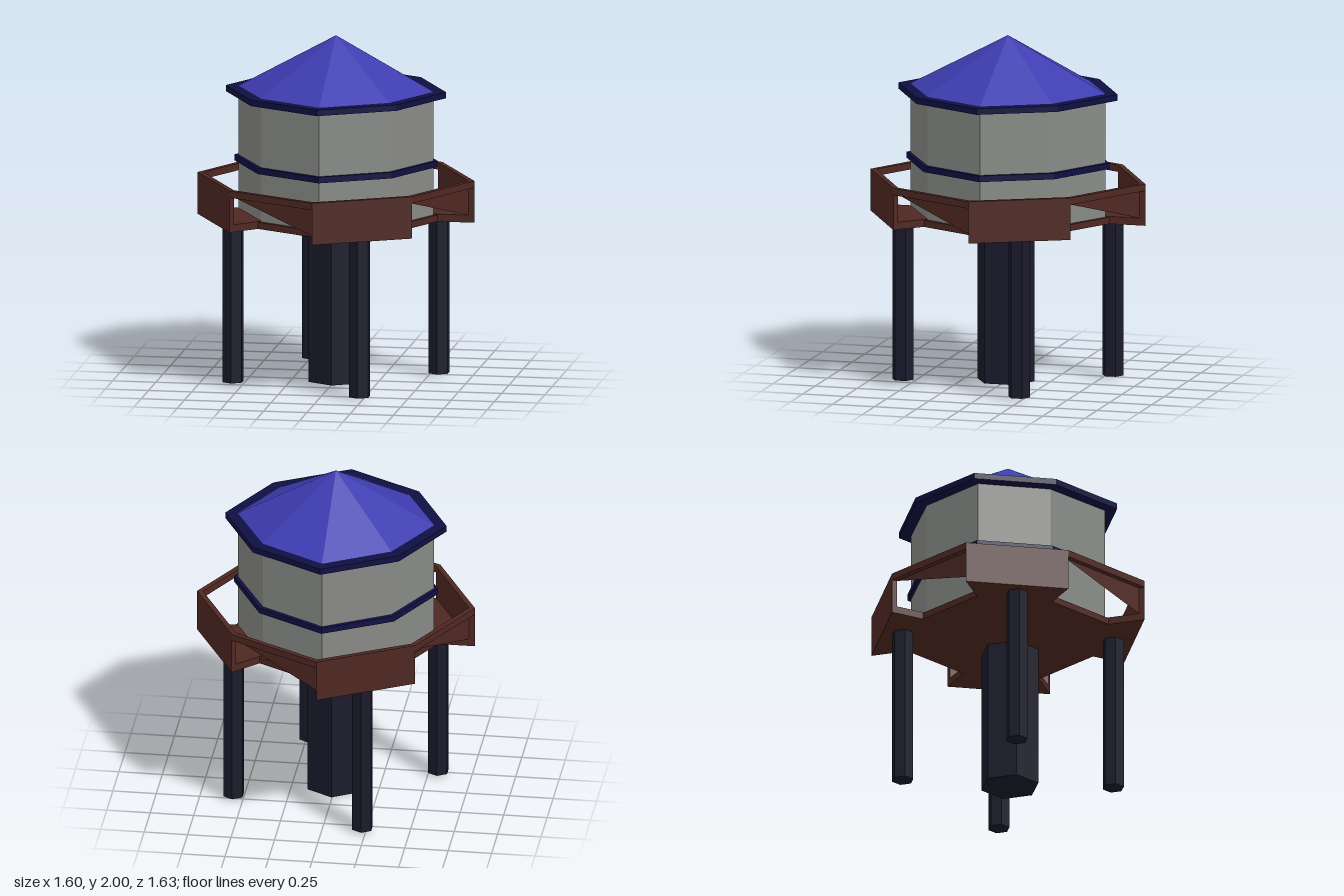
import * as THREE from 'three';

const material = (color) => new THREE.MeshStandardMaterial({ color, flatShading: true });

// Octagon sizes: [reach along x, diagonal corner, reach along z]
const CENTRE = [0, 0, 0];
const TANK = [0.565, 0.37, 0.58];
const BAND = [0.587, 0.387, 0.602];
const EAVES = [0.637, 0.42, 0.652];
const INNER = [0.765, 0.505, 0.782];
const OUTER = [0.8, 0.527, 0.816];

// Corner k of an octagon, starting at the front and turning towards +x
function corner(k, [ax, d, az], y) {
  const a = (k * Math.PI) / 4;
  if (k % 2) return [Math.sign(Math.sin(a)) * d, y, Math.sign(Math.cos(a)) * d];
  return [Math.round(Math.sin(a)) * ax, y, Math.round(Math.cos(a)) * az];
}

function addQuad(out, a, b, c, d) {
  const same = (p, q) => p.every((v, i) => v === q[i]);
  if (!same(a, b)) out.push(...a, ...b, ...c);
  if (!same(c, d)) out.push(...a, ...c, ...d);
}

function meshFrom(points, mat, name) {
  const g = new THREE.BufferGeometry();
  g.setAttribute('position', new THREE.Float32BufferAttribute(points, 3));
  g.computeVertexNormals();
  const mesh = new THREE.Mesh(g, mat);
  mesh.name = name;
  return mesh;
}

// Sweeps a profile of [octagon, y] pairs past the given sides
function sweep(out, profile, sides) {
  for (const k of sides) {
    const a = profile.map(([ring, y]) => corner(k, ring, y));
    const b = profile.map(([ring, y]) => corner(k + 1, ring, y));
    for (let i = 0; i + 1 < profile.length; i++) addQuad(out, a[i], b[i], b[i + 1], a[i + 1]);
  }
}

// Closed segment over one side, with both ends capped
function segment(out, profile, k) {
  sweep(out, [...profile, profile[0]], [k]);
  const a = profile.map(([ring, y]) => corner(k, ring, y));
  const b = profile.map(([ring, y]) => corner(k + 1, ring, y));
  for (let i = 1; i + 2 < profile.length; i += 2) {
    addQuad(out, a[0], a[i], a[i + 1], a[i + 2]);
    addQuad(out, b[i + 2], b[i + 1], b[i], b[0]);
  }
}

export function createModel() {
  const group = new THREE.Group();
  const blue = material(0x3e3cb0);
  const navy = material(0x0f0f42);
  const grey = material(0x888a86);
  const brown = material(0x4f2822);
  const dark = material(0x1a1a2b);
  const all = [0, 1, 2, 3, 4, 5, 6, 7];

  const revolve = (name, profile, mat) => {
    const pts = [];
    sweep(pts, profile, all);
    group.add(meshFrom(pts, mat, name));
  };

  // Tank, its trim and the roof
  revolve('tank', [[TANK, 0.96], [TANK, 1.67]], grey);
  revolve('tankBand', [[TANK, 1.255], [BAND, 1.255], [BAND, 1.29], [TANK, 1.29]], navy);
  revolve('eaves', [[CENTRE, 1.655], [EAVES, 1.655], [EAVES, 1.69], [TANK, 1.69]], navy);
  revolve('roof', [[TANK, 1.69], [CENTRE, 2]], blue);

  // Sloping underside with its low rim
  const neck = [0.16, 0.11, 0.17];
  revolve('tankBase', [[CENTRE, 0.84], [neck, 0.84], [TANK, 0.937], [BAND, 0.937], [BAND, 0.975], [TANK, 0.975]], brown);

  // Balcony: walled decks alternate with open bays
  const deck = [[OUTER, 0.937], [OUTER, 1.18], [INNER, 1.18], [INNER, 0.98], [TANK, 0.98], [TANK, 0.937]];
  const rail = [[OUTER, 1.14], [OUTER, 1.18], [INNER, 1.18], [INNER, 1.14]];
  const decks = [], rails = [], braces = [];
  for (let k = 0; k < 8; k += 2) {
    segment(decks, deck, k);
    segment(rails, rail, k + 1);
    // Triangular panel hanging below the rail
    braces.push(...corner(k + 1, INNER, 1.14), ...corner(k + 2, INNER, 0.98), ...corner(k + 2, INNER, 1.14));
  }
  group.add(meshFrom(decks, brown, 'balconyDecks'));
  group.add(meshFrom(rails, brown, 'balconyRails'));
  group.add(meshFrom(braces, brown, 'balconyPanels'));

  // Central column and four legs, all six-sided
  const post = (name, r, y0, y1, x, z) => {
    const mesh = new THREE.Mesh(new THREE.CylinderGeometry(r, r, y1 - y0, 6), dark);
    mesh.position.set(x, (y0 + y1) / 2, z);
    mesh.name = name;
    group.add(mesh);
  };
  post('column', 0.17, 0, 0.87, 0.005, 0.01);
  for (let i = 0; i < 4; i++) {
    const a = (i * Math.PI) / 2, c = Math.cos(a), s = Math.sin(a);
    post('leg', 0.063, 0.015, 0.96, 0.23 * c + 0.557 * s, 0.557 * c - 0.23 * s);
  }

  return group;
}
